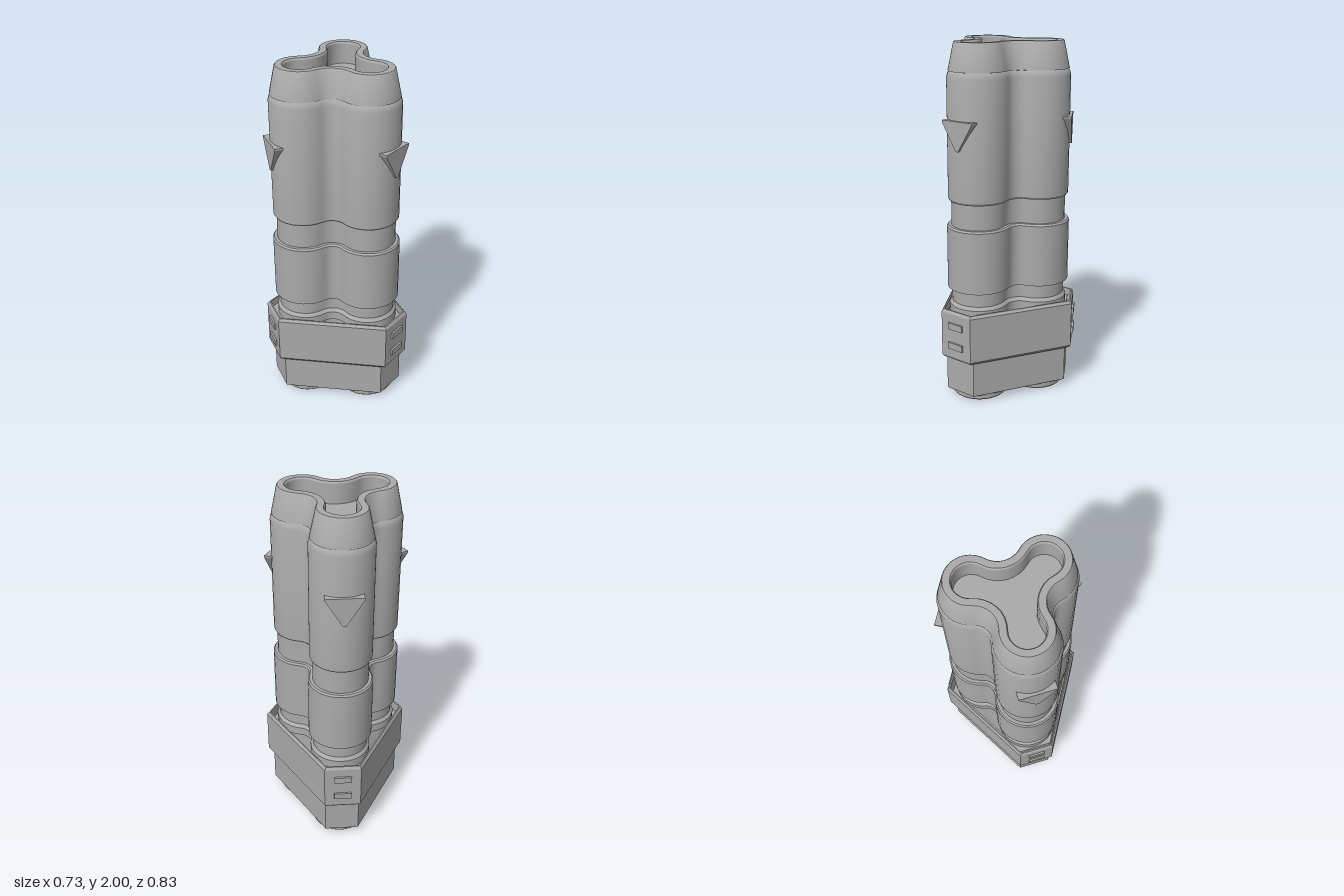
import * as THREE from 'three';
import { toCreasedNormals } from 'three/addons/utils/BufferGeometryUtils.js';

const LOBE = 0.207;      // distance of each lobe centre from the axis
const HOLLOW = 0.269;    // distance of each concave arc centre
const REACH = 0.244;     // lobe centre to concave centre

// Three-lobed outline: convex lobes of radius r joined by tangent concave arcs
function trefoil(r) {
  const pts = [];
  const t = THREE.MathUtils.degToRad(107.3);
  const arc = (dist, dir, rad, from, to, n) => {
    for (let i = 0; i < n; i++) {
      const a = from + (to - from) * i / n;
      pts.push([dist * Math.cos(dir) + rad * Math.cos(a), dist * Math.sin(dir) + rad * Math.sin(a)]);
    }
  };
  for (let k = 0; k < 3; k++) {
    const d = k * Math.PI * 2 / 3, c = d + Math.PI / 3;
    arc(LOBE, d, r, d - t, d + t, 20);
    arc(HOLLOW, c, REACH - r, d + t + Math.PI, d + t + Math.PI - 2 * (t - Math.PI / 3), 8);
  }
  return pts;
}

// Triangle with cut corners: corner faces at distance c, long faces at distance f
function cutTriangle(c, f) {
  const h = (f - c / 2) / 0.866;
  const pts = [];
  for (let k = 0; k < 3; k++) {
    const a = k * Math.PI * 2 / 3, x = Math.cos(a), z = Math.sin(a);
    for (const s of [-h, h]) pts.push([c * x - s * z, c * z + s * x]);
  }
  return pts;
}

// Skin a list of { y, pts } outlines
function loft(rings, crease) {
  const n = rings[0].pts.length, pos = [], idx = [];
  for (const { y, pts } of rings) for (const [x, z] of pts) pos.push(x, y, z);
  for (let i = 0; i + 1 < rings.length; i++) {
    for (let j = 0; j < n; j++) {
      const a = i * n + j, b = i * n + (j + 1) % n;
      idx.push(a, a + n, b, b, a + n, b + n);
    }
  }
  const g = new THREE.BufferGeometry();
  g.setAttribute('position', new THREE.Float32BufferAttribute(pos, 3));
  g.setIndex(idx);
  return toCreasedNormals(g, crease);
}

export function createModel() {
  const model = new THREE.Group();
  const core = new THREE.Group();
  core.name = 'tripleBarrel';
  core.position.x = -0.064;
  model.add(core);
  const metal = new THREE.MeshStandardMaterial({ color: 0xaaaaaa });
  metal.name = 'grey metal';

  const add = (name, geometry, parent = core) => {
    const m = new THREE.Mesh(geometry, metal);
    m.name = name;
    parent.add(m);
    return m;
  };
  // r = 0 closes the outline onto the axis
  const lobed = (name, profile) => add(name, loft(profile.map(([y, r]) => ({
    y, pts: r ? trefoil(r) : trefoil(0.1).map(() => [0, 0]),
  })), 0.5));

  // Lobed body, from the hollow foot up to the recessed muzzle
  lobed('foot', [[0.14, 0], [0.14, 0.122], [0, 0.122], [0, 0.15], [0.006, 0.155], [0.52, 0.155]]);
  lobed('collar', [[0.5, 0.152], [0.5, 0.168], [0.55, 0.168], [0.57, 0.152]]);
  lobed('lowerNeck', [[0.56, 0.153], [0.66, 0.153]]);
  lobed('sleeve', [[0.65, 0.15], [0.65, 0.178], [1.0, 0.178], [1.01, 0.17], [1.01, 0.15]]);
  lobed('upperNeck', [[1.0, 0.153], [1.16, 0.153]]);
  lobed('barrelJacket', [[1.15, 0.15], [1.15, 0.162], [1.162, 0.17], [1.815, 0.17], [1.84, 0.163], [1.85, 0.154]]);
  lobed('muzzle', [[1.848, 0.15], [1.85, 0.162], [1.995, 0.131], [2, 0.127],
    [2, 0.092], [1.99, 0.086], [1.88, 0.086], [1.88, 0]]);

  // Hollow housings around the base
  const housing = (name, profile) => add(name, loft(profile.map(([y, c, f]) => ({ y, pts: cutTriangle(c, f) })), 0.3));
  housing('upperHousing', [
    [0.25, 0.4, 0.28], [0.25, 0.408, 0.287], [0.265, 0.418, 0.298], [0.525, 0.418, 0.298],
    [0.54, 0.408, 0.287], [0.54, 0.4, 0.28], [0.25, 0.4, 0.28]]);
  housing('lowerHousing', [
    [0.04, 0.374, 0.265], [0.04, 0.38, 0.271], [0.046, 0.384, 0.275], [0.5, 0.384, 0.275],
    [0.5, 0.374, 0.265], [0.04, 0.374, 0.265]]);

  // Details repeated on each lobe
  const fin = new THREE.Shape([[-0.1, 1.6], [-0.1, 1.59], [-0.008, 1.44], [0.008, 1.44], [0.1, 1.59], [0.1, 1.6]]
    .map(p => new THREE.Vector2(...p)));
  const finGeo = new THREE.ExtrudeGeometry(fin, { depth: 0.07, bevelEnabled: false });
  finGeo.rotateY(Math.PI / 2).translate(0.32, 0, 0);

  const shelf = new THREE.Shape([[0.384, -0.095], [0.384, 0.095], [0.25, 0.168], [0.25, -0.168]]
    .map(p => new THREE.Vector2(...p)));
  const shelfGeo = new THREE.ExtrudeGeometry(shelf, { depth: 0.02, bevelEnabled: false });
  shelfGeo.rotateX(-Math.PI / 2);

  for (let k = 0; k < 3; k++) {
    const side = new THREE.Group();
    side.name = 'lobeDetails' + (k + 1);
    side.rotation.y = k * Math.PI * 2 / 3;
    core.add(side);
    add('triangularFin', finGeo, side);
    for (const y of [0.05, 0.48]) add('cornerShelf', shelfGeo, side).position.y = y;
    for (const y of [0.337, 0.455]) {
      add('button', new THREE.BoxGeometry(0.028, 0.038, 0.098), side).position.set(0.415, y, 0);
    }
  }
  return model;
}
